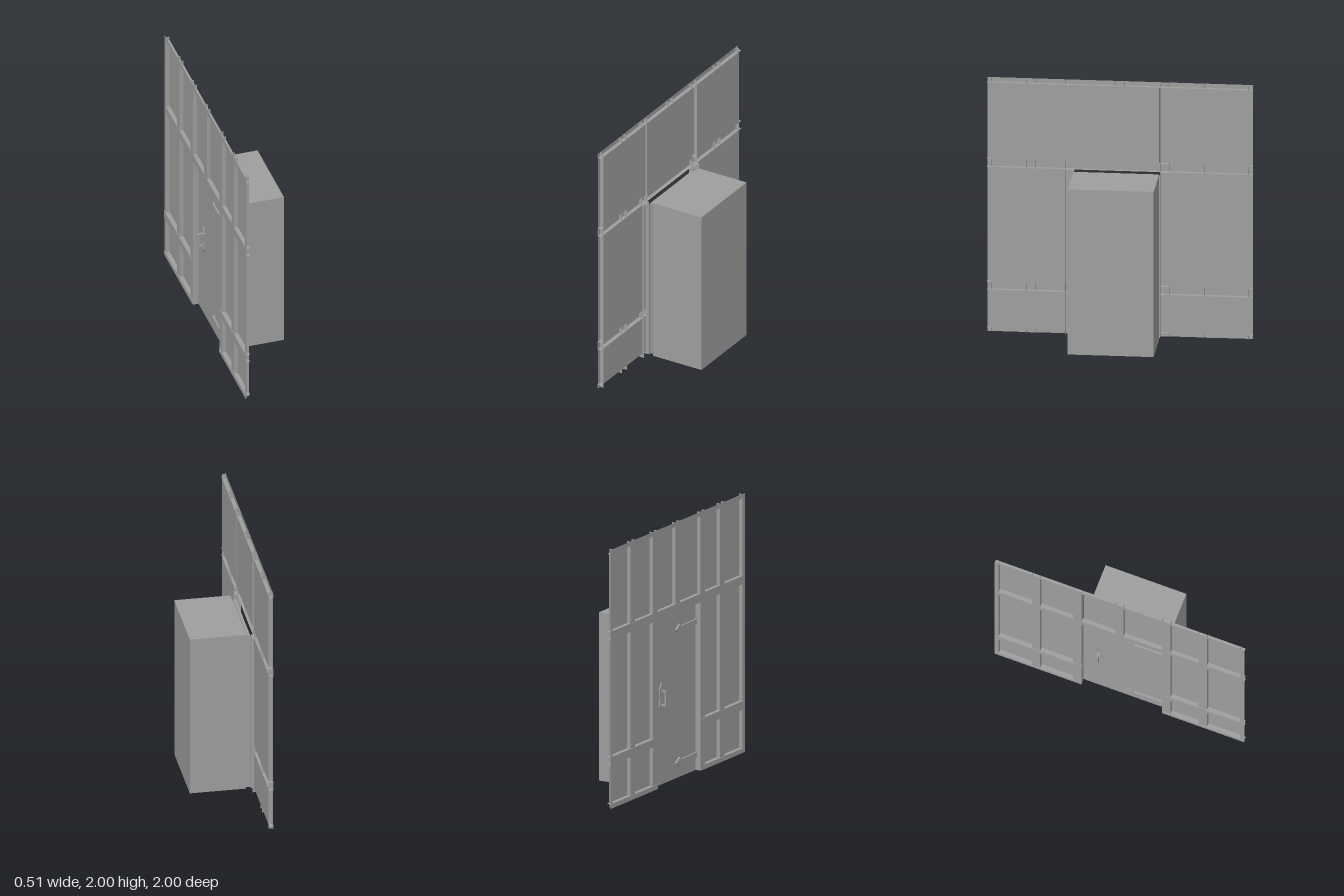
import * as THREE from 'three';

const COLOR = 0x9e9e9e;
const thin = new THREE.MeshStandardMaterial({ color: COLOR, side: THREE.DoubleSide, flatShading: true });
const solid = new THREE.MeshStandardMaterial({ color: COLOR, flatShading: true });

const FRONT = -0.25; // outer face of the beams
const BACK = -0.22; // plane of the wall panels
const JAMB_BACK = -0.206; // the door posts reach deeper

export function createModel() {
  const model = new THREE.Group();

  const add = (name, geometry, material, parent = model) => {
    const mesh = new THREE.Mesh(geometry, material);
    mesh.name = name;
    parent.add(mesh);
    return mesh;
  };

  const box = (name, x0, x1, y0, y1, z0, z1, parent) => {
    const g = new THREE.BoxGeometry(x1 - x0, y1 - y0, z1 - z0);
    g.translate((x0 + x1) / 2, (y0 + y1) / 2, (z0 + z1) / 2);
    return add(name, g, solid, parent);
  };

  // Sheet facing -x
  const sheet = (name, x, y0, y1, z0, z1, parent) => {
    const g = new THREE.PlaneGeometry(z1 - z0, y1 - y0);
    g.rotateY(-Math.PI / 2);
    g.translate(x, (y0 + y1) / 2, (z0 + z1) / 2);
    return add(name, g, thin, parent);
  };

  // Level sheet
  const shelf = (name, x0, x1, y, z0, z1, parent) => {
    const g = new THREE.PlaneGeometry(x1 - x0, z1 - z0);
    g.rotateX(-Math.PI / 2);
    g.translate((x0 + x1) / 2, y, (z0 + z1) / 2);
    return add(name, g, thin, parent);
  };

  // Upright channel: outer face plus flanges at the given z positions
  const post = (name, y0, y1, z0, z1, flanges, back = BACK) => {
    const group = new THREE.Group();
    group.name = name;
    sheet('face', FRONT, y0, y1, z0, z1, group);
    for (const z of flanges) {
      const g = new THREE.PlaneGeometry(back - FRONT, y1 - y0);
      g.translate((FRONT + back) / 2, (y0 + y1) / 2, z);
      add('flange', g, thin, group);
    }
    model.add(group);
  };

  // Level channel: outer face plus flanges at the given heights
  const rail = (name, front, y0, y1, z0, z1, flanges) => {
    const group = new THREE.Group();
    group.name = name;
    sheet('face', front, y0, y1, z0, z1, group);
    for (const y of flanges) shelf('flange', front, BACK, y, z0, z1, group);
    model.add(group);
  };

  // Wall panels in three columns, leaving the doorway open
  for (const [z0, z1, isDoorway] of [[-0.967, -0.366], [-0.3, 0.347, true], [0.366, 0.967]]) {
    for (const [y0, y1] of [[0.036, 0.336], [0.4, 1.302], [1.367, 1.967]]) {
      if (!isDoorway || y0 > 1) sheet('wallPanel', BACK, y0, y1, z0, z1);
    }
  }

  // Posts
  post('edgePost', 0, 2, -1, -0.966, [-0.966]);
  post('edgePost', 0, 2, 0.966, 1, [0.966]);
  for (const z of [-0.667, 0.667]) post('middlePost', 0, 2, z - 0.033, z + 0.033, [z - 0.033, z + 0.033]);
  post('upperPost', 1.367, 2, -0.033, 0.033, [-0.033, 0.033]);
  for (const [z0, z1] of [[-0.37, -0.303], [0.342, 0.409]]) {
    post('doorPost', 0, 1.3, z0, z1, [z0, z1], JAMB_BACK);
    shelf('doorPostCap', BACK, JAMB_BACK, 1.3, z0, z1);
    post('upperPost', 1.3, 2, z0, z1, [z0, z1]);
  }

  // Rails; the lower ones stand slightly proud and stop at the doorway
  rail('topRail', FRONT - 0.0005, 1.966, 2, -1, 1, [1.966]);
  rail('lintelRail', FRONT - 0.0005, 1.302, 1.367, -1, 1, [1.302, 1.367]);
  for (const [z0, z1] of [[-1, -0.302], [0.341, 1]]) {
    rail('lowerRail', -0.254, 0.336, 0.4, z0, z1, [0.336, 0.4]);
    rail('footRail', -0.254, 0, 0.036, z0, z1, [0.036]);
  }

  // Door leaf closing the doorway, and the deep box behind it
  sheet('doorSurround', JAMB_BACK, 0, 1.28, -0.303, 0.342);
  box('doorLeaf', -0.207, -0.186, 0, 1.28, -0.28, 0.32);
  box('doorBacking', -0.186, -0.17, 0, 1.27, -0.275, 0.31);
  box('rearBox', -0.17, 0.257, 0, 1.3, -0.302, 0.344);

  // Plate cut from [z, y] points, rising from the door towards -x
  const plate = (name, points, depth, parent) => {
    const shape = new THREE.Shape(points.map(([z, y]) => new THREE.Vector2(z, y)));
    const g = new THREE.ExtrudeGeometry(shape, { depth, bevelEnabled: false });
    g.rotateY(-Math.PI / 2);
    g.translate(-0.207, 0, 0);
    return add(name, g, solid, parent);
  };

  // Strap hinges with arrow tips
  for (const y of [0.12, 1.15]) {
    plate('strapHinge', [
      [0.342, y - 0.02], [0.342, y + 0.02], [0.1, y + 0.016], [0.09, y + 0.036],
      [0.03, y], [0.09, y - 0.036], [0.1, y - 0.016],
    ], 0.014);
  }

  // Handle: pointed back plate and a bracket grip
  const handle = new THREE.Group();
  handle.name = 'doorHandle';
  model.add(handle);
  const hz = -0.175, hy = 0.67;
  plate('handlePlate', [
    [hz, hy + 0.12], [hz - 0.03, hy + 0.065], [hz - 0.022, hy], [hz - 0.03, hy - 0.065],
    [hz, hy - 0.12], [hz + 0.03, hy - 0.065], [hz + 0.022, hy], [hz + 0.03, hy + 0.065],
  ], 0.008, handle);
  box('grip', -0.257, -0.244, hy - 0.06, hy + 0.06, hz - 0.008, hz + 0.008, handle);
  for (const s of [-1, 1]) {
    box('gripArm', -0.246, -0.212, hy + s * 0.053 - 0.007, hy + s * 0.053 + 0.007, hz - 0.008, hz + 0.008, handle);
  }

  return model;
}
